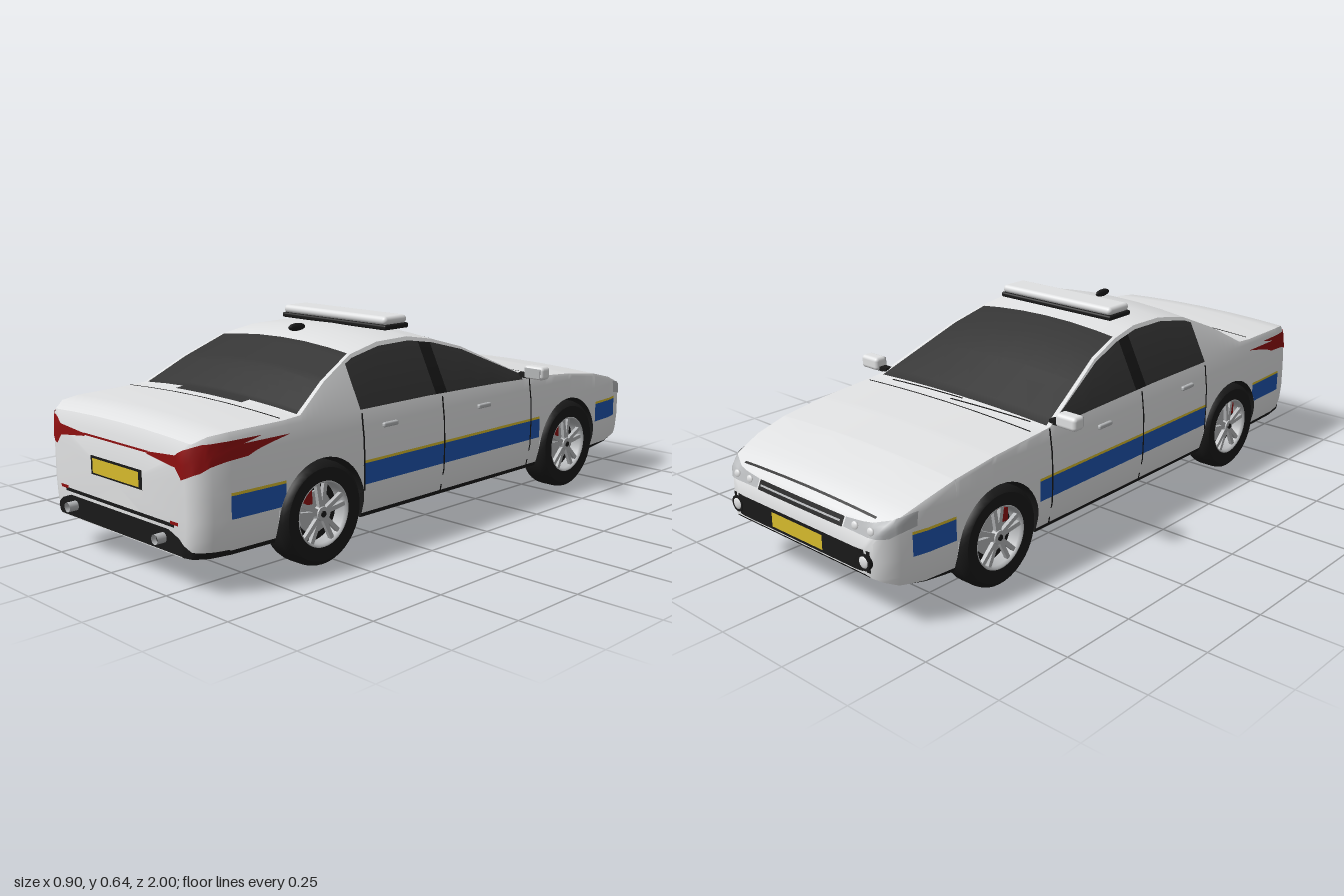
import * as THREE from 'three';
import { toCreasedNormals } from 'three/addons/utils/BufferGeometryUtils.js';
import { RoundedBoxGeometry } from 'three/addons/geometries/RoundedBoxGeometry.js';

const paint = (name, color) => new THREE.MeshStandardMaterial({ name, color, side: THREE.DoubleSide });

// Body stations, tail to nose: z, half width, floor, belt, roof edge, centre top
const STATIONS = [
  [0.968, 0.3, 0.102, 0.36, 0.372, 0.38], [0.955, 0.33, 0.1, 0.39, 0.403, 0.413],
  [0.92, 0.354, 0.1, 0.405, 0.42, 0.432], [0.86, 0.366, 0.1, 0.41, 0.425, 0.438],
  [0.68, 0.372, 0.1, 0.415, 0.428, 0.44], [0.62, 0.373, 0.1, 0.415, 0.432, 0.448],
  [0.5, 0.373, 0.1, 0.415, 0.502, 0.518], [0.37, 0.373, 0.1, 0.415, 0.56, 0.58],
  [0.25, 0.373, 0.1, 0.415, 0.582, 0.6], [0.12, 0.373, 0.1, 0.415, 0.584, 0.604],
  [0.02, 0.373, 0.1, 0.413, 0.567, 0.586], [-0.1, 0.373, 0.1, 0.411, 0.532, 0.548],
  [-0.2, 0.373, 0.1, 0.409, 0.486, 0.5], [-0.37, 0.373, 0.1, 0.403, 0.408, 0.418],
  [-0.43, 0.373, 0.1, 0.396, 0.403, 0.413], [-0.6, 0.372, 0.1, 0.382, 0.39, 0.402],
  [-0.75, 0.37, 0.1, 0.36, 0.37, 0.382], [-0.85, 0.362, 0.11, 0.335, 0.345, 0.356],
  [-0.93, 0.345, 0.125, 0.305, 0.315, 0.326], [-0.965, 0.322, 0.14, 0.285, 0.292, 0.3],
  [-0.982, 0.298, 0.15, 0.25, 0.258, 0.264], [-0.99, 0.275, 0.16, 0.228, 0.232, 0.236],
];
const AXLES = [0.555, -0.59], WHEEL_R = 0.148, ARCH_R = 0.16;
const ROWS = [0.113, 0.15, 0.2, 0.262, 0.27, 0.32, 0.37];
const STRIPES = [[0.69, 0.87], [-0.425, 0.4], [-0.895, -0.755]];
const within = (z, a, b) => z > a && z < b;

function station(z) {
  let i = 0;
  while (i < STATIONS.length - 2 && z < STATIONS[i + 1][0]) i++;
  const a = STATIONS[i], b = STATIONS[i + 1], t = (z - a[0]) / (b[0] - a[0]);
  return a.map((v, k) => v + (b[k] - v) * t);
}

// Closed cross-section: floor, wheel housing, flank, window wall, roof, mirrored
function section(z) {
  const [, w, bot, belt, edge, top] = station(z);
  let low = bot;
  for (const c of AXLES) {
    const d = Math.abs(z - c);
    if (d <= ARCH_R + 1e-6) low = WHEEL_R + Math.sqrt(Math.max(0, ARCH_R ** 2 - d * d));
  }
  const side = y => w - 2 * Math.max(0, 0.2 - y) ** 2 - 0.7 * Math.max(0, y - 0.28) ** 2;
  const inner = Math.min(0.27, w - 0.04);
  const half = [[0, bot], [inner, bot], [inner, low], [side(low), low]];
  for (const r of ROWS) {
    const y = Math.min(Math.max(r, low), belt);
    half.push([side(y), y]);
  }
  const xb = side(belt), xe = xb - (edge - belt) * 0.5;
  half.push([xb, belt], [xb + (xe - xb) * 0.93, belt + (edge - belt) * 0.93], [xe, edge]);
  for (const f of [0.96, 0.7, 0.35, 0]) half.push([xe * f, edge + (top - edge) * (1 - f * f)]);
  return [...half, ...half.slice(1, -1).reverse().map(([x, y]) => [-x, y])];
}

export function createModel() {
  const model = new THREE.Group();
  model.name = 'patrolCar';
  const white = paint('bodyWhite', 0xe0e1e2), black = paint('trimBlack', 0x191919);
  const glass = paint('darkGlass', 0x353535), blue = paint('stripeBlue', 0x1f55b0);
  const yellow = paint('plateYellow', 0xd8bc2c), red = paint('lampRed', 0x8f0f10);
  const silver = paint('silver', 0xb4b6b8);
  const mats = [white, black, glass, blue, yellow];

  const add = (name, geo, mat, x = 0, y = 0, z = 0, parent = model) => {
    const m = new THREE.Mesh(geo, mat);
    m.name = name;
    m.position.set(x, y, z);
    parent.add(m);
    return m;
  };

  // Body shell lofted through the sections, coloured by row and station
  const zs = new Set(STATIONS.map(s => s[0]));
  [0.4, 0.08, 0.03, -0.34, ...STRIPES.flat()].forEach(z => zs.add(z));
  for (const c of AXLES) {
    for (let i = 0; i <= 20; i++) zs.add(c + ARCH_R * Math.cos(i * Math.PI / 20));
    zs.add(c + ARCH_R + 0.001).add(c - ARCH_R - 0.001);
  }
  const list = [...zs].sort((a, b) => b - a), N = 34;
  const pos = list.flatMap(z => section(z).flatMap(([x, y]) => [x, y, z]));
  const faces = mats.map(() => []);
  const colourOf = (j, z) => {
    if (j <= 3) return 1;
    if (j === 6 || j === 7) return STRIPES.some(([a, b]) => within(z, a, b)) ? j - 3 : 0;
    if (j === 11 && within(z, -0.34, 0.4)) return within(z, 0.03, 0.08) ? 1 : 2;
    if (j >= 14 && (within(z, -0.37, 0.02) || within(z, 0.37, 0.62))) return 2;
    return 0;
  };
  for (let i = 0; i < list.length - 1; i++) for (let j = 0; j < N; j++) {
    const a = i * N + j, b = i * N + (j + 1) % N, c = b + N, d = a + N;
    faces[colourOf(j < 17 ? j : 33 - j, (list[i] + list[i + 1]) / 2)].push(a, d, c, a, c, b);
  }
  const last = (list.length - 1) * N, hub = pos.length / 3;
  pos.push(0, 0.24, list[0], 0, 0.195, list[list.length - 1]);
  for (let j = 0; j < N; j++) {
    const k = (j + 1) % N;
    faces[0].push(hub, j, k, hub + 1, last + k, last + j);
  }
  let shell = new THREE.BufferGeometry();
  shell.setAttribute('position', new THREE.Float32BufferAttribute(pos, 3));
  shell.setIndex(faces.flat());
  let start = 0;
  faces.forEach((f, i) => { shell.addGroup(start, f.length, i); start += f.length; });
  shell = toCreasedNormals(shell, 0.6);
  const body = add('body', shell, mats);
  body.updateMatrixWorld();

  // Thin plates laid on the shell: columns [a, low, high] projected along an axis
  const ray = new THREE.Raycaster();
  const DIRS = { rear: [0, 0, 1], front: [0, 0, -1], left: [1, 0, 0], right: [-1, 0, 0], top: [0, 1, 0] };
  const touch = (view, a, b, lift) => {
    const d = new THREE.Vector3(...DIRS[view]);
    const p = d.x ? new THREE.Vector3(0, b, a) : d.y ? new THREE.Vector3(a, 0, b) : new THREE.Vector3(a, b, 0);
    ray.set(p.addScaledVector(d, 2), d.clone().negate());
    const hit = ray.intersectObject(body)[0];
    return hit && hit.point.addScaledVector(hit.face.normal, lift);
  };
  const plate = (name, mat, view, cols, lift = 0.003) => {
    const out = [], index = [], M = 4, S = 6;
    for (let i = 0; i < cols.length; i++) for (let s = 0; s < (i < cols.length - 1 ? S : 1); s++) {
      const next = cols[Math.min(i + 1, cols.length - 1)];
      const [a, lo, hi] = cols[i].map((v, k) => v + (next[k] - v) * s / S);
      for (let m = 0; m <= M; m++) out.push(touch(view, a, lo + (hi - lo) * m / M, lift));
    }
    const R = M + 1;
    for (let i = 0; i + R < out.length; i++) {
      const q = [i, i + R, i + R + 1, i + 1];
      if (i % R < M && q.every(k => out[k])) index.push(q[0], q[1], q[2], q[0], q[2], q[3]);
    }
    const g = new THREE.BufferGeometry();
    g.setAttribute('position', new THREE.Float32BufferAttribute(out.flatMap(p => p ? p.toArray() : [0, 0.2, 0]), 3));
    g.setIndex(index);
    g.computeVertexNormals();
    add(name, g, mat);
  };
  const band = (name, mat, view, a, b, lo, hi, lift) => plate(name, mat, view, [[a, lo, hi], [(a + b) / 2, lo, hi], [b, lo, hi]], lift);

  // Tail
  plate('rearValance', black, 'rear', [[-0.35, 0.106, 0.118], [-0.31, 0.106, 0.122], [-0.275, 0.106, 0.152],
    [-0.23, 0.106, 0.168], [0.23, 0.106, 0.168], [0.275, 0.106, 0.152], [0.31, 0.106, 0.122], [0.35, 0.106, 0.118]]);
  band('bumperStrip', black, 'rear', -0.255, 0.255, 0.177, 0.187);
  band('lampLine', red, 'rear', -0.15, 0.15, 0.356, 0.362);
  band('rearPlateFrame', black, 'rear', -0.12, 0.12, 0.25, 0.304);
  band('rearPlate', yellow, 'rear', -0.108, 0.108, 0.256, 0.298, 0.006);
  band('rearGlassTab', glass, 'top', -0.15, 0.15, 0.615, 0.655);
  band('bootSeam', black, 'top', -0.34, 0.34, 0.679, 0.685);
  // Nose
  band('intake', black, 'front', -0.29, 0.29, 0.166, 0.228);
  band('frontPlate', yellow, 'front', -0.108, 0.108, 0.176, 0.22, 0.006);
  band('grille', black, 'front', -0.18, 0.18, 0.262, 0.288);
  band('grilleBar', silver, 'front', -0.17, 0.17, 0.272, 0.277, 0.006);
  band('bonnetFrontSeam', black, 'top', -0.28, 0.28, -0.952, -0.946);
  band('bonnetRearSeam', black, 'top', -0.34, 0.34, -0.433, -0.428);
  plate('wiper', black, 'top', [[-0.3, -0.39, -0.384], [0, -0.412, -0.405]], 0.005);
  plate('wiper', black, 'top', [[-0.03, -0.39, -0.384], [0.27, -0.398, -0.391]], 0.005);

  for (const s of [1, -1]) {
    const flank = s > 0 ? 'left' : 'right';
    plate('tailLamp', red, 'rear', [[0.145, 0.353, 0.36], [0.266, 0.338, 0.37], [0.29, 0.309, 0.384],
      [0.335, 0.33, 0.402], [0.363, 0.358, 0.404]].map(([x, a, b]) => [x * s, a, b]));
    band('reflector', red, 'rear', 0.24 * s, 0.275 * s, 0.185, 0.194, 0.005);
    plate('headLamp', silver, 'front', [[0.185, 0.264, 0.288], [0.28, 0.262, 0.296], [0.33, 0.266, 0.31], [0.355, 0.285, 0.325]].map(([x, a, b]) => [x * s, a, b]));
    for (const x of [0.225, 0.285]) {
      const p = touch('front', x * s, 0.276, 0.002);
      add('headLampLens', new THREE.SphereGeometry(0.013, 16, 10), white, p.x, p.y, p.z).scale.z = 0.5;
    }
    const fog = new THREE.CylinderGeometry(0.024, 0.024, 0.02, 24).rotateX(Math.PI / 2);
    add('fogLampRing', fog, black, 0.272 * s, 0.195, -0.984);
    add('fogLamp', new THREE.SphereGeometry(0.018, 18, 10), white, 0.272 * s, 0.195, -0.992).scale.z = 0.35;
    for (const z of [0.398, 0.055, -0.375]) band('doorSeam', black, flank, z - 0.003, z + 0.003, 0.11, 0.405, 0.002);
    for (const [z, y] of [[0.29, 0.36], [-0.135, 0.35]])
      add('doorHandle', new RoundedBoxGeometry(0.014, 0.014, 0.06, 2, 0.005), silver, 0.371 * s, y, z);
    add('mirror', new RoundedBoxGeometry(0.076, 0.042, 0.045, 3, 0.012), white, 0.413 * s, 0.432, -0.347);
    add('mirrorGlass', new THREE.BoxGeometry(0.06, 0.03, 0.004), silver, 0.413 * s, 0.432, -0.324);
    add('mirrorStalk', new THREE.BoxGeometry(0.04, 0.014, 0.025), black, 0.365 * s, 0.418, -0.345);
    const pipe = new THREE.CylinderGeometry(0.014, 0.014, 0.12, 18, 1, true).rotateX(Math.PI / 2);
    add('exhaust', pipe, silver, 0.207 * s, 0.141, 0.94);
    add('exhaustBore', new THREE.CircleGeometry(0.013, 18), black, 0.207 * s, 0.141, 0.985);
  }

  // Roof fittings
  add('lightBarBase', new RoundedBoxGeometry(0.46, 0.016, 0.105, 2, 0.006), black, 0, 0.608, 0.112);
  add('lightBar', new RoundedBoxGeometry(0.454, 0.026, 0.1, 5, 0.013), white, 0, 0.627, 0.112);
  add('antenna', new THREE.SphereGeometry(1, 16, 10), black, 0, 0.604, 0.31).scale.set(0.01, 0.012, 0.034);

  // Wheels, modelled about the x axis with the outer face at +x
  const lathe = pts => new THREE.LatheGeometry(pts.map(p => new THREE.Vector2(...p)), 40).rotateZ(-Math.PI / 2);
  const tyre = toCreasedNormals(lathe([[0.094, -0.045], [0.132, -0.048], [0.145, -0.038], [0.148, -0.025],
    [0.148, 0.025], [0.145, 0.038], [0.132, 0.048], [0.094, 0.045]]), 0.7);
  const rim = lathe([[0.086, -0.02], [0.086, 0.035], [0.09, 0.044], [0.096, 0.045], [0.096, 0.03]]);
  const disc = new THREE.CylinderGeometry(0.094, 0.094, 0.01, 32).rotateZ(Math.PI / 2);
  const cap = new THREE.CylinderGeometry(0.02, 0.024, 0.016, 20).rotateZ(-Math.PI / 2);
  for (const z of AXLES) for (const s of [1, -1]) {
    const wheel = new THREE.Group();
    wheel.name = 'wheel';
    wheel.position.set(0.328 * s, WHEEL_R, z);
    add('tyre', tyre, black, 0, 0, 0, wheel);
    add('rim', rim, silver, 0, 0, 0, wheel);
    add('wheelBack', disc, black, -0.005, 0, 0, wheel);
    add('brakeDisc', new THREE.CylinderGeometry(0.06, 0.06, 0.008, 28).rotateZ(Math.PI / 2), silver, 0.006, 0, 0, wheel);
    add('caliper', new THREE.BoxGeometry(0.012, 0.04, 0.035), red, 0.014, 0.048, 0.038 * s * s, wheel);
    for (let i = 0; i < 10; i++) {
      const angle = Math.floor(i / 2) * Math.PI * 0.4 + (i % 2 ? 0.17 : -0.17);
      add('spoke', new THREE.BoxGeometry(0.012, 0.072, 0.013).translate(0, 0.053, 0), silver, 0.032, 0, 0, wheel).rotation.x = angle;
    }
    add('hubCap', cap, silver, 0.034, 0, 0, wheel);
    add('hubBadge', new THREE.CylinderGeometry(0.009, 0.009, 0.004, 16).rotateZ(Math.PI / 2), black, 0.043, 0, 0, wheel);
    if (s < 0) {
      wheel.rotation.y = Math.PI;
      wheel.getObjectByName('caliper').position.z *= -1;
    }
    model.add(wheel);
  }
  return model;
}
